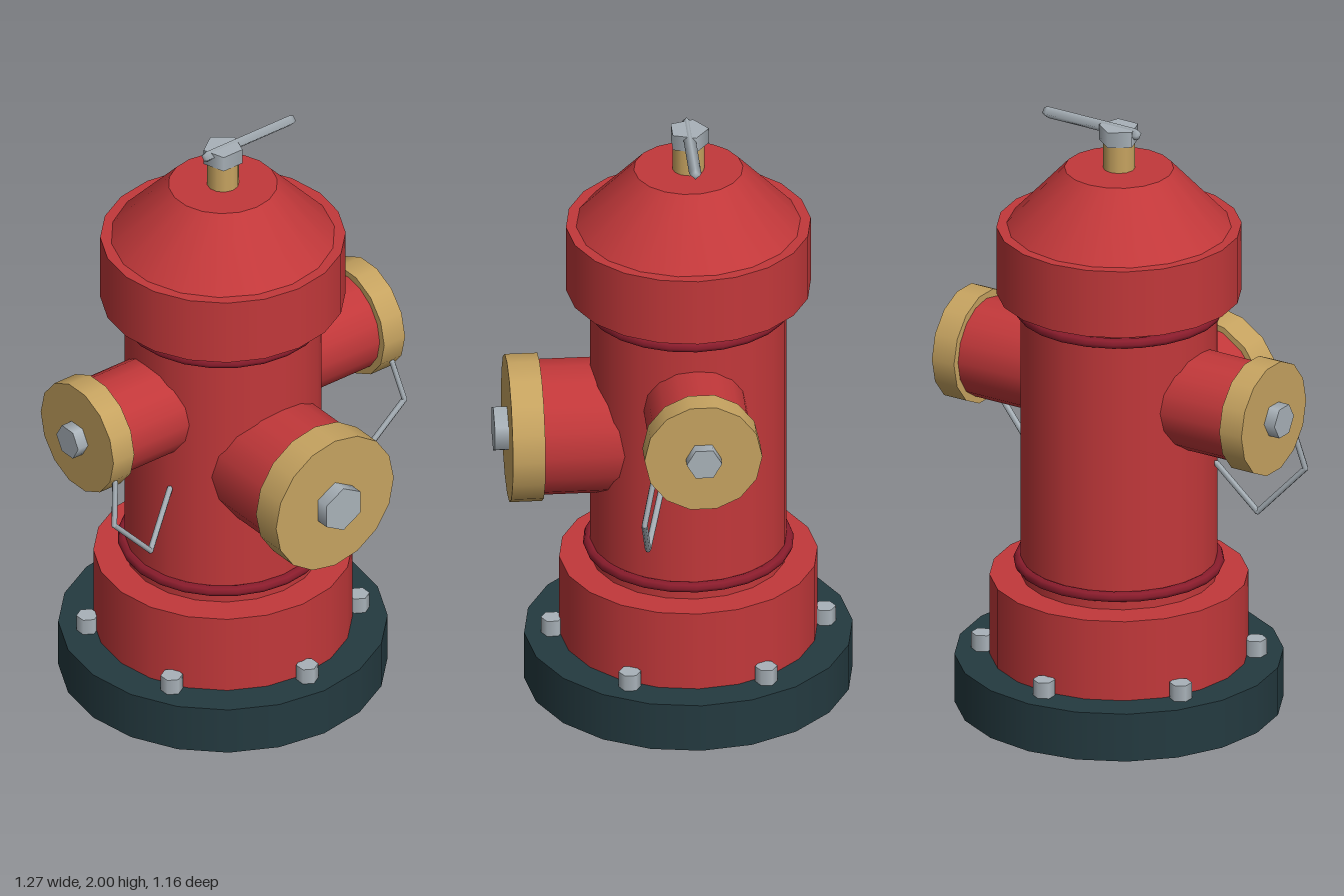
import * as THREE from 'three';

const mat = (name, color) => {
  const m = new THREE.MeshStandardMaterial({ color });
  m.name = name;
  return m;
};

export function createModel() {
  const red = mat('red paint', 0xc2383a);
  const darkRed = mat('dark red trim', 0x8a1c2c);
  const brass = mat('brass', 0xc6a360);
  const steel = mat('steel', 0xa9b2b9);
  const slate = mat('dark base', 0x243a40);

  const model = new THREE.Group();
  model.name = 'hydrant';
  const AXIS_Z = -0.05; // barrel axis; the front outlet pushes it backwards

  const add = (parent, name, geometry, material) => {
    const mesh = new THREE.Mesh(geometry, material);
    mesh.name = name;
    parent.add(mesh);
    return mesh;
  };

  // Upright cylinder between two heights
  const column = (parent, name, y0, y1, rBottom, rTop, sides, material) => {
    const mesh = add(parent, name, new THREE.CylinderGeometry(rTop, rBottom, y1 - y0, sides), material);
    mesh.position.y = (y0 + y1) / 2;
    return mesh;
  };

  // Barrel stack
  const barrel = new THREE.Group();
  barrel.name = 'barrel';
  barrel.position.z = AXIS_Z;
  model.add(barrel);
  column(barrel, 'baseFlange', 0, 0.165, 0.53, 0.53, 20, slate);
  column(barrel, 'lowerCollar', 0.165, 0.44, 0.417, 0.417, 20, red);
  column(barrel, 'body', 0.44, 1.42, 0.317, 0.317, 20, red);
  column(barrel, 'bonnet', 1.42, 1.65, 0.395, 0.395, 20, red);
  column(barrel, 'bonnetCone', 1.65, 1.85, 0.362, 0.176, 18, red);
  column(barrel, 'stem', 1.85, 1.94, 0.052, 0.052, 12, brass);
  column(barrel, 'stemNut', 1.94, 1.993, 0.066, 0.066, 5, steel).rotation.y = Math.PI;

  // Trim rings
  for (const y of [0.487, 1.37]) {
    const ring = add(barrel, 'trimRing', new THREE.TorusGeometry(0.322, 0.018, 8, 24), darkRed);
    ring.rotation.x = Math.PI / 2;
    ring.position.y = y;
  }

  // Operating lever
  const lever = add(barrel, 'lever', new THREE.CapsuleGeometry(0.02, 0.335, 2, 4), steel);
  lever.rotation.z = Math.PI / 2;
  lever.position.set(0.105, 1.98, 0);

  // Flange bolts
  for (let i = 0; i < 6; i++) {
    const a = (i * Math.PI) / 3;
    const bolt = column(barrel, 'flangeBolt', 0.165, 0.22, 0.036, 0.036, 6, steel);
    bolt.position.x = Math.sin(a) * 0.44;
    bolt.position.z = Math.cos(a) * 0.44;
  }

  // Outlet built along its own +y, then turned outwards
  const outlet = (name, s) => {
    const g = new THREE.Group();
    g.name = name;
    column(g, 'pipe', 0.1, s.pipe, s.rPipe, s.rPipe, 16, red);
    column(g, 'cap', s.pipe, s.cap, s.rCap, s.rCap, s.sides, brass);
    column(g, 'capNut', s.cap, s.nut, s.rNut, s.rNut, 6, steel);
    model.add(g);
    return g;
  };
  const front = outlet('frontOutlet',
    { pipe: 0.48, cap: 0.585, nut: 0.63, rPipe: 0.22, rCap: 0.24, rNut: 0.08, sides: 16 });
  front.rotation.x = Math.PI / 2;
  front.position.set(0, 0.92, AXIS_Z);

  for (const side of [1, -1]) {
    const label = side > 0 ? 'left' : 'right';
    const o = outlet(label + 'Outlet',
      { pipe: 0.51, cap: 0.595, nut: 0.635, rPipe: 0.166, rCap: 0.19, rNut: 0.057, sides: 14 });
    o.rotation.z = -side * Math.PI / 2;
    o.position.set(0, 1.11, AXIS_Z);

    // Cap chain: straight links from cap to body
    const chain = new THREE.Group();
    chain.name = label + 'Chain';
    model.add(chain);
    const pts = [[0.565, 1.01, 0.11], [0.592, 0.87, 0.14], [0.425, 0.69, 0.115], [0.303, 0.85, 0.06]]
      .map(([x, y, z]) => new THREE.Vector3(side * x, y, z));
    for (let i = 0; i < 3; i++) {
      const path = new THREE.LineCurve3(pts[i], pts[i + 1]);
      add(chain, 'chainLink', new THREE.TubeGeometry(path, 1, 0.01, 6), steel);
    }
    for (const p of pts) {
      add(chain, 'chainJoint', new THREE.SphereGeometry(0.01, 6, 4), steel).position.copy(p);
    }
  }
  return model;
}
